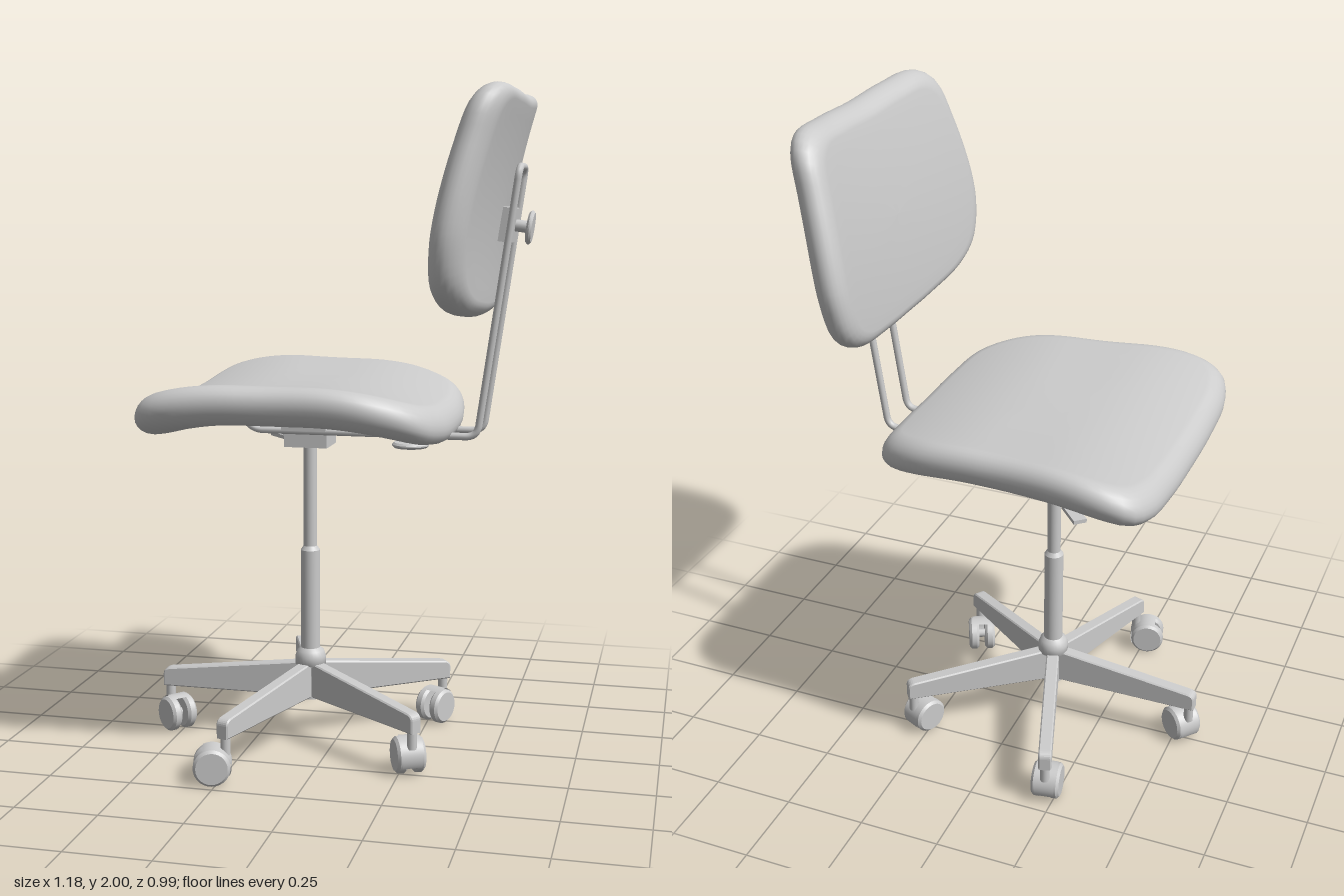
import * as THREE from 'three';

const grey = new THREE.MeshStandardMaterial({ color: 0xcccccc });
const greyThin = new THREE.MeshStandardMaterial({ color: 0xcccccc, side: THREE.DoubleSide });
const V = (x, y, z) => new THREE.Vector3(x, y, z);

function add(parent, name, geometry, x = 0, y = 0, z = 0, material = grey) {
  const mesh = new THREE.Mesh(geometry, material);
  mesh.name = name;
  mesh.position.set(x, y, z);
  parent.add(mesh);
  return mesh;
}

// Padded slab: a mirrored outline (axis position, half width) swept over a rounded
// edge section, then bent into place by place(axis, side, height).
function cushion(half, thickness, edge, place) {
  const mirrored = half.slice(1, -1).reverse().map(([a, w]) => [a, -w]);
  const outline = new THREE.CatmullRomCurve3([...half, ...mirrored].map(([a, w]) => V(a, w, 0)), true);
  const n = 96;
  const pts = outline.getSpacedPoints(n).slice(0, n);
  const mid = (half[0][0] + half[half.length - 1][0]) / 2;
  const t = thickness / 2;
  const caps = [0, 0.15, 0.3, 0.45, 0.6, 0.75];
  const rings = caps.map(s => [s, t]);
  for (let k = 0; k <= 12; k++) {
    const a = Math.PI / 2 - (k / 12) * Math.PI;
    rings.push([1 - edge + edge * Math.cos(a), t * Math.sin(a)]);
  }
  caps.reverse().forEach(s => rings.push([s, -t]));
  const pos = [], idx = [];
  for (const [s, h] of rings)
    for (const p of pts) pos.push(...place(mid + (p.x - mid) * s, p.y * s, h));
  for (let k = 0; k < rings.length - 1; k++)
    for (let i = 0; i < n; i++) {
      const a = k * n + i, b = k * n + (i + 1) % n;
      idx.push(a, b, a + n, b, b + n, a + n);
    }
  const g = new THREE.BufferGeometry();
  g.setAttribute('position', new THREE.Float32BufferAttribute(pos, 3));
  g.setIndex(idx);
  g.computeVertexNormals();
  return g;
}

// Closed rod following straight runs with rounded corners
function rodLoop(corners, bend, radius) {
  const path = new THREE.CurvePath();
  const n = corners.length;
  const toward = (a, b) => a.clone().add(b.clone().sub(a).setLength(bend));
  for (let i = 0; i < n; i++) {
    const prev = corners[(i + n - 1) % n], c = corners[i], next = corners[(i + 1) % n];
    path.add(new THREE.QuadraticBezierCurve3(toward(c, prev), c, toward(c, next)));
    path.add(new THREE.LineCurve3(toward(c, next), toward(next, c)));
  }
  return new THREE.TubeGeometry(path, 400, radius, 10, true);
}

// Disc with chamfered rims, axis along y
function disc(r, h, c = 0.006) {
  const p = [[0, 0], [r - c, 0], [r - c, 0], [r, c], [r, c], [r, h - c], [r, h - c], [r - c, h], [r - c, h], [0, h]];
  return new THREE.LatheGeometry(p.map(([x, y]) => new THREE.Vector2(x, y - h / 2)), 28);
}

function caster(dx, dz) {
  const g = new THREE.Group();
  g.name = 'caster';
  g.rotation.y = Math.atan2(-dz, dx);
  for (const s of [-1, 1]) add(g, 'wheel', disc(0.055, 0.033, 0.008).rotateX(Math.PI / 2), 0.04, 0.055, s * 0.027);
  add(g, 'axle', new THREE.CylinderGeometry(0.015, 0.015, 0.05, 12).rotateX(Math.PI / 2), 0.04, 0.055, 0);
  const hood = new THREE.CylinderGeometry(0.058, 0.058, 0.06, 20, 1, true, 0.85 * Math.PI, 0.8 * Math.PI);
  add(g, 'hood', hood.rotateX(Math.PI / 2), 0.04, 0.055, 0, greyThin);
  add(g, 'stem', new THREE.CylinderGeometry(0.015, 0.015, 0.07, 14), 0, 0.12, 0);
  return g;
}

export function createModel() {
  const model = new THREE.Group();
  const chair = new THREE.Group();
  chair.name = 'swivelChair';
  chair.position.z = -0.012;
  model.add(chair);
  const cx = -0.085; // column axis

  // Seat: dished across, drooping at the front and back
  const seatHalf = [[0.37, 0], [0.362, 0.2], [0.325, 0.345], [0.2, 0.425], [-0.1, 0.455],
    [-0.4, 0.485], [-0.48, 0.455], [-0.512, 0.37], [-0.52, 0.2], [-0.52, 0]];
  add(chair, 'seat', cushion(seatHalf, 0.115, 0.12, (a, w, h) => {
    const droop = 0.5 * Math.max(0, -0.2 - a) ** 2 + 0.45 * Math.max(0, a) ** 2;
    return [a, 1.12 - droop - 0.045 * (1 - (w / 0.48) ** 2) + h, w];
  }));

  // Backrest: wings curve forward, top leans back
  const backHalf = [[1.99, 0], [1.998, 0.2], [1.998, 0.35], [1.96, 0.41], [1.85, 0.443], [1.65, 0.478],
    [1.55, 0.476], [1.44, 0.435], [1.38, 0.34], [1.35, 0.15], [1.345, 0]];
  add(chair, 'backrest', cushion(backHalf, 0.1, 0.13, (a, w, h) => {
    const t = (a - 1.4) / 0.57;
    return [0.43 + 0.04 * t + 0.065 * t * t - 0.05 * (w / 0.48) ** 2 - h, a, w];
  }));

  // Bent rod frame carrying the backrest
  const w = 0.068;
  const side = [[0.557, 1.78], [0.443, 0.988], [-0.25, 0.988], [-0.295, 1.05]];
  const loop = [...side.map(([x, y]) => V(x, y, w)), ...side.reverse().map(([x, y]) => V(x, y, -w))];
  add(chair, 'backFrame', rodLoop(loop, 0.035, 0.011));

  // Backrest clamp and its knob
  const clamp = new THREE.Group();
  clamp.name = 'backClamp';
  clamp.position.set(0.525, 1.612, 0);
  clamp.rotation.z = -0.14;
  add(clamp, 'clampBlock', new THREE.BoxGeometry(0.05, 0.1, 0.145), -0.01, 0, 0);
  add(clamp, 'knobShaft', new THREE.CylinderGeometry(0.018, 0.018, 0.05, 14).rotateZ(Math.PI / 2), 0.035, 0, 0);
  add(clamp, 'knob', disc(0.05, 0.016).rotateZ(Math.PI / 2), 0.058, 0, 0);
  chair.add(clamp);

  // Mechanism under the seat
  add(chair, 'mechanism', new THREE.BoxGeometry(0.135, 0.06, 0.12), cx, 0.965, 0);
  add(chair, 'mountPlate', new THREE.BoxGeometry(0.14, 0.06, 0.17), cx, 1.02, 0);
  add(chair, 'frameBar', new THREE.BoxGeometry(0.58, 0.012, 0.1), 0.03, 0.995, 0);
  add(chair, 'depthKnobShaft', new THREE.CylinderGeometry(0.022, 0.022, 0.04, 14), 0.23, 0.975, 0);
  add(chair, 'depthKnob', disc(0.056, 0.016), 0.23, 0.947, 0);
  const leverPath = new THREE.CatmullRomCurve3([V(-0.1, 0.965, -0.05), V(-0.15, 0.945, -0.12), V(-0.23, 0.928, -0.23)]);
  add(chair, 'heightLever', new THREE.TubeGeometry(leverPath, 16, 0.008, 8));
  add(chair, 'leverPaddle', new THREE.BoxGeometry(0.1, 0.012, 0.04), -0.24, 0.923, -0.25).rotation.y = 2.3;

  // Gas column with hub
  const column = [[0, 0.13], [0.035, 0.13], [0.035, 0.13], [0.035, 0.235], [0.048, 0.24], [0.048, 0.265],
    [0.042, 0.283], [0.03, 0.293], [0.03, 0.293], [0.03, 0.605], [0.03, 0.605], [0.021, 0.618], [0.021, 0.618], [0.021, 0.95]];
  add(chair, 'column', new THREE.LatheGeometry(column.map(p => new THREE.Vector2(...p)), 28), cx, 0, 0);

  // Five-armed base with swivelled casters
  const arm = new THREE.Shape();
  arm.moveTo(0, 0.14);
  arm.lineTo(0.48, 0.14);
  arm.lineTo(0.48, 0.175);
  arm.quadraticCurveTo(0.48, 0.19, 0.46, 0.192);
  arm.lineTo(0.03, 0.243);
  arm.lineTo(0, 0.243);
  const armGeo = new THREE.ExtrudeGeometry(arm, {
    depth: 0.032, bevelThickness: 0.004, bevelSize: 0.004, bevelSegments: 1, curveSegments: 6 }).translate(0, 0, -0.016);
  const swivel = [[0.76, 0.65], [-0.96, 0.27], [-0.45, -0.9], [-0.45, 0.9], [0.15, 1]];
  swivel.forEach(([dx, dz], i) => {
    const a = Math.PI - i * Math.PI * 0.4; // measured from +x towards +z
    add(chair, 'baseArm', armGeo, cx, 0, 0).rotation.y = -a;
    const c = caster(dx, dz);
    c.position.set(cx + 0.465 * Math.cos(a), 0, 0.465 * Math.sin(a));
    chair.add(c);
  });
  return model;
}
